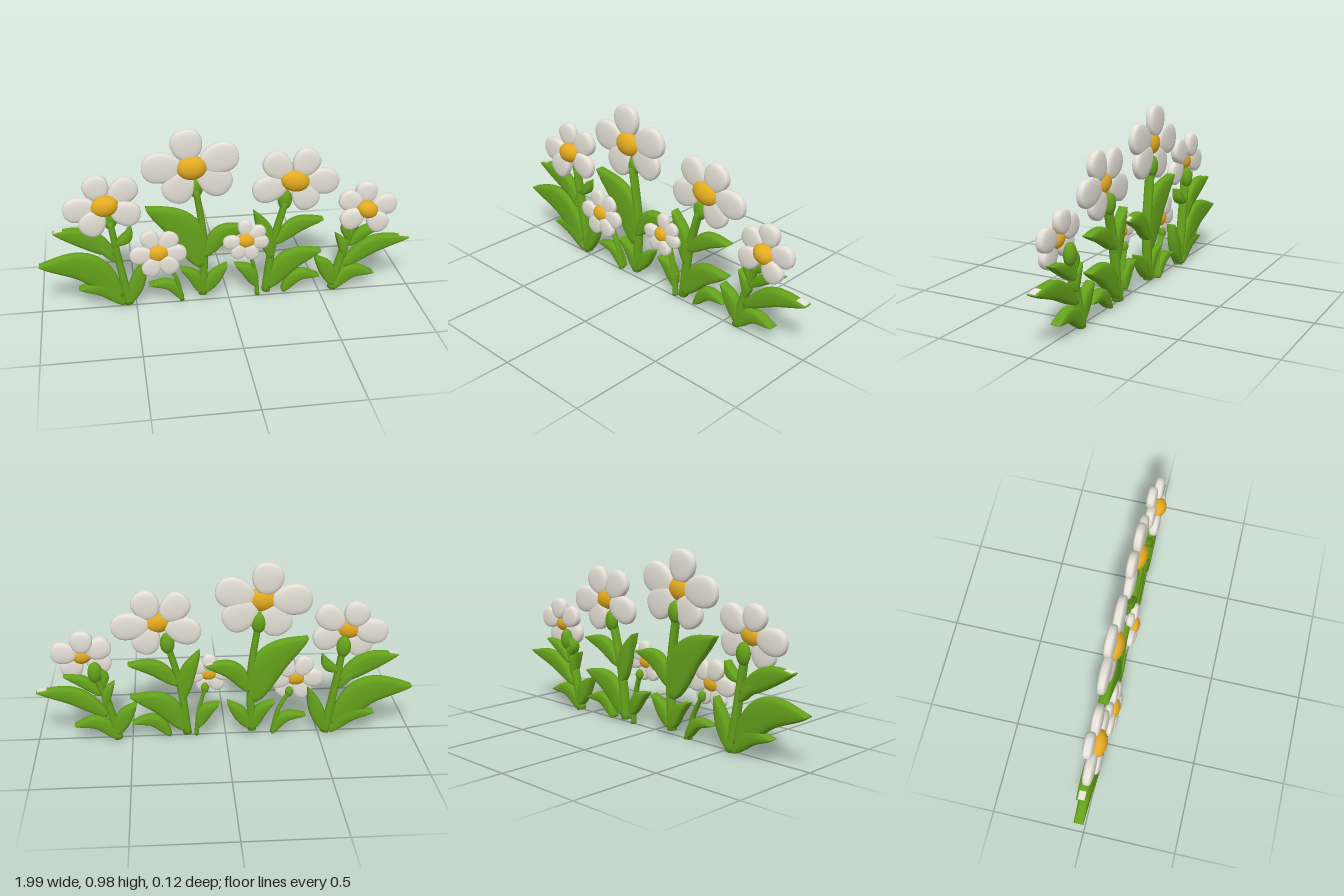
import * as THREE from 'three';

const mat = (name, color) => {
  const m = new THREE.MeshStandardMaterial({ color });
  m.name = name;
  return m;
};

// Layout units (187 per model unit, y down) to model units
const U = 187;
const P = (x, y) => new THREE.Vector3((x - 238.5) / U, (315 - y) / U, 0);
const soft = (v, power) => Math.sign(v) * Math.pow(Math.abs(v), power);

// Sweep a rounded section along a flat curve; width and depth vary with t
function sweep(curve, width, depth, z, power, n = 20, m = 16) {
  const pos = [], idx = [];
  for (let i = 0; i <= n; i++) {
    const t = i / n, c = curve.getPoint(t), g = curve.getTangent(t);
    for (let j = 0; j < m; j++) {
      const a = (j / m) * Math.PI * 2;
      const w = width(t) * soft(Math.cos(a), power);
      pos.push(c.x - g.y * w, c.y + g.x * w, z + depth(t) * soft(Math.sin(a), power));
    }
  }
  for (let i = 0; i < n; i++) for (let j = 0; j < m; j++) {
    const a = i * m + j, b = i * m + (j + 1) % m;
    idx.push(a, b, a + m, b, b + m, a + m);
  }
  // End caps
  for (const t of [0, 1]) {
    const c = curve.getPoint(t), id = pos.length / 3, r = t * n * m;
    pos.push(c.x, c.y, z);
    for (let j = 0; j < m; j++) {
      const k = (j + 1) % m;
      if (t) idx.push(id, r + j, r + k); else idx.push(id, r + k, r + j);
    }
  }
  const geo = new THREE.BufferGeometry();
  geo.setAttribute('position', new THREE.Float32BufferAttribute(pos, 3));
  geo.setIndex(idx);
  geo.computeVertexNormals();
  return geo;
}

// Puffy egg-shaped petal: long in y, wider at the tip, with steep sides and a flattish front
function petalGeometry() {
  const g = new THREE.SphereGeometry(1, 32, 20), p = g.attributes.position;
  for (let i = 0; i < p.count; i++) {
    const x = p.getX(i), y = p.getY(i), z = p.getZ(i);
    p.setXYZ(i, soft(x, 0.92) * (1 + 0.13 * y), soft(y, 0.95), soft(z, 0.48));
  }
  g.computeVertexNormals();
  return g;
}

export function createModel() {
  const root = new THREE.Group();
  root.name = 'flowerBed';
  const white = mat('petalWhite', 0xe4e0d6);
  const yellow = mat('discYellow', 0xe4ab20);
  const green = mat('leafGreen', 0x64a11b);
  const petalGeo = petalGeometry();
  const ball = new THREE.SphereGeometry(1, 32, 20);

  const add = (parent, name, geo, material) => {
    const m = new THREE.Mesh(geo, material);
    m.name = name;
    parent.add(m);
    return m;
  };

  // Petal tips lie on an ellipse (rx, ry, tilt) at the given angles; nod brings low petals
  // forward; the stem runs through base, mid and top, where the calyx sits
  function flower({ centre, disc, discTilt, rx, ry, tilt = 0, angles, petalWidth, z, nod = 0,
    base, mid, top, small = false }) {
    const group = new THREE.Group();
    group.name = 'flower';
    root.add(group);
    const c = P(...centre);

    angles.forEach((deg, i) => {
      const a = THREE.MathUtils.degToRad(deg);
      const d = new THREE.Vector2(Math.cos(a) * rx, Math.sin(a) * ry)
        .rotateAround(new THREE.Vector2(), tilt).divideScalar(U);
      const petal = add(group, 'petal', petalGeo, white);
      petal.position.set(c.x + d.x * 0.59, c.y + d.y * 0.59,
        z - nod * d.y + (i % 2 ? 0.002 : -0.002));
      petal.scale.set(petalWidth / U, d.length() * 0.41, small ? 0.022 : 0.028);
      petal.rotation.z = d.angle() - Math.PI / 2;
    });

    // Domed centre
    const dome = add(group, 'flowerCentre', ball, yellow);
    dome.position.set(c.x, c.y, z + (small ? 0.004 : 0.014));
    dome.scale.set(disc[0] / U, disc[1] / U, small ? 0.032 : 0.045);
    dome.rotation.z = discTilt;

    // Bud cup behind the flower
    const cup = add(group, 'calyx', ball, green);
    cup.position.copy(P(top[0], top[1] - (small ? 0 : 2))).setZ(small ? -0.008 : -0.028);
    cup.scale.set(small ? 0.021 : 0.038, small ? 0.029 : 0.058, small ? 0.02 : 0.031);

    // Stem, slightly thicker at the foot
    const r = small ? 0.012 : 0.022;
    const curve = new THREE.CatmullRomCurve3([P(...base), P(...mid), P(...top)]);
    add(group, 'stem', sweep(curve, t => r * (1.05 - 0.3 * t),
      () => (small ? 0.017 : 0.026), small ? -0.008 : -0.017, 0.85), green);
  }

  // Thick leaf with blunt edges, bowed sideways by bend
  function leaf(bx, by, tx, ty, bend, halfWidth, paleTip = false) {
    const dx = tx - bx, dy = ty - by, k = bend / Math.hypot(dx, dy);
    const curve = new THREE.CatmullRomCurve3([P(bx, by),
      P((bx + tx) / 2 - dy * k, (by + ty) / 2 + dx * k), P(tx, ty)]);
    const width = t => (halfWidth / U) * (0.04 + 0.2 * (1 - t) ** 4
      + 0.96 * Math.pow(Math.max(0, Math.sin(Math.PI * Math.pow(t, 0.9))), 0.85));
    const depth = t => 0.026 + 0.005 * Math.sin(Math.PI * t);
    add(root, 'leaf', sweep(curve, width, depth, -0.016, 0.65), green);

    // Pale sliver along the upper edge of the tip
    if (paleTip) {
      const edge = t => {
        const g = curve.getTangent(t), w = width(t) * Math.sign(dx);
        return curve.getPoint(t).add(new THREE.Vector3(-g.y * w, g.x * w, 0));
      };
      const a = edge(0.87), b = edge(0.99), d = b.clone().sub(a);
      const plate = add(root, 'leafTip',
        new THREE.BoxGeometry(d.length(), 0.005, 0.034), white);
      plate.position.copy(a).add(b).multiplyScalar(0.5).setZ(-0.016);
      plate.rotation.z = Math.atan2(d.y, d.x);
    }
  }

  // Far right plant
  flower({ centre: [118.5, 203], disc: [13.5, 10.5], discTilt: 0.2, rx: 40, ry: 30, tilt: 0.15,
    angles: [101, 34, -40, -126, 178], petalWidth: 12.5, z: -0.002, nod: 0.12,
    base: [138, 314], mid: [130, 268], top: [123, 222] });
  leaf(130, 305, 52, 265, 16, 15);
  leaf(133, 313, 89, 293, 8, 8);
  leaf(125, 256, 68, 230, 5, 10, true);
  leaf(126, 264, 103, 244, 3, 5);
  leaf(128, 246, 143, 229, 3.5, 5);
  leaf(139, 312, 156, 265, 0, 7.5);

  // Small flower beside it
  flower({ centre: [168, 256], disc: [10.5, 8.5], discTilt: 0.05, rx: 28, ry: 25,
    angles: [116, 52, -5, -54, -114, 184], petalWidth: 9, z: 0.022, nod: 0.1,
    base: [191, 314], mid: [186, 290], top: [175, 269], small: true });
  leaf(192, 313, 158, 294, 8.4, 5.5);

  // Tallest plant
  flower({ centre: [203, 170], disc: [14.5, 12], discTilt: 0.05, rx: 48, ry: 38,
    angles: [99, 20, -40, -116, 179], petalWidth: 15.2, z: -0.02,
    base: [212, 309], mid: [214, 250], top: [207, 194] });
  leaf(211, 276, 158, 210, 12.7, 16.5);
  leaf(215, 265, 259, 237, -9.4, 9, true);
  leaf(210, 306, 190, 278, 5, 6.5);
  leaf(215, 306, 237, 277, -1.7, 7);

  // Smallest flower
  flower({ centre: [255, 248.5], disc: [9, 7.5], discTilt: 0, rx: 23, ry: 21,
    angles: [93, 36, -10, -70, -122, 184], petalWidth: 7, z: 0.022, nod: 0.1,
    base: [268, 314], mid: [265.5, 288], top: [259, 262], small: true });
  leaf(266, 303, 245, 278, 4.8, 7);

  // Second tallest plant
  flower({ centre: [304, 190], disc: [14.5, 11], discTilt: -0.25, rx: 45, ry: 33,
    angles: [128, 66, -8, -66, 204], petalWidth: 13.3, z: -0.022,
    base: [277, 311], mid: [283, 260], top: [295, 213] });
  leaf(281, 272, 264, 221, 3.8, 8);
  leaf(286, 256, 334, 233, -6.7, 8);
  leaf(279, 306, 333, 268, -10.2, 11.5);
  leaf(294, 312, 332, 297, -9.6, 6.5);

  // Far left plant
  flower({ centre: [377.5, 224], disc: [11, 9], discTilt: -0.4, rx: 31, ry: 27,
    angles: [90, 12, -55, 213, 150], petalWidth: 10.8, z: 0, nod: 0.15,
    base: [346, 314], mid: [354, 278], top: [366, 242] });
  leaf(356, 287, 424, 260, -7.7, 9, true);
  leaf(347, 313, 389, 298, -10.2, 7.5);
  leaf(346, 308, 327, 276, 3.2, 8);
  leaf(357, 277, 348, 252, 2.9, 5);
  leaf(362, 264, 397, 243, -3.3, 5.5);
  leaf(360, 257, 362, 236, -4, 4);
  return root;
}
